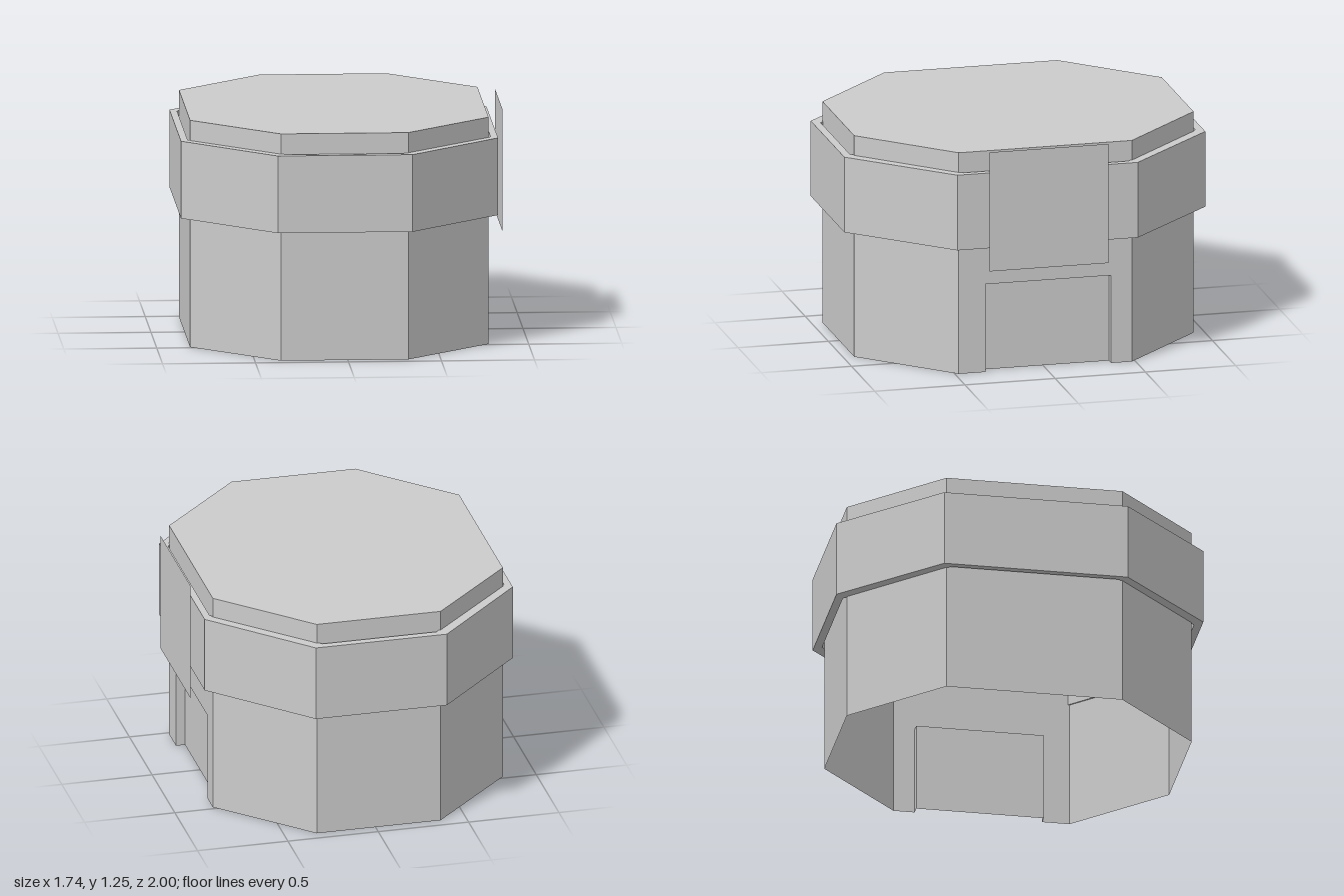
import * as THREE from 'three';
import { mergeGeometries } from 'three/addons/utils/BufferGeometryUtils.js';

const CX = -0.0175; // the octagonal tower sits slightly off centre; the sign balances it
const material = new THREE.MeshStandardMaterial({ color: 0xcccccc, flatShading: true, side: THREE.DoubleSide });

// Octagon corners as [x, z]: half sizes hx, hz and flat half lengths fx, fz.
// The last and first corners bound the +x side.
function octagon(hx, hz, fx, fz) {
  return [[hx, -fz], [fx, -hz], [-fx, -hz], [-hx, -fz], [-hx, fz], [-fx, hz], [fx, hz], [hx, fz]]
    .map(([x, z]) => [x + CX, z]);
}

function toPoints(corners) {
  return corners.map(([x, z]) => new THREE.Vector2(x, -z));
}

// Four corners, counter-clockwise seen from the front
function quad(a, b, c, d) {
  const g = new THREE.BufferGeometry();
  g.setAttribute('position', new THREE.Float32BufferAttribute([a, b, c, a, c, d].flat(), 3));
  g.computeVertexNormals();
  return g;
}

function addMesh(group, name, geometry) {
  const mesh = new THREE.Mesh(geometry, material);
  mesh.name = name;
  group.add(mesh);
  return mesh;
}

export function createModel() {
  const group = new THREE.Group();
  group.name = 'octagonalKiosk';

  const top = 1.235;
  const body = octagon(0.8025, 0.94, 0.3425, 0.48);

  // Seven plain walls, open underneath
  const walls = [];
  for (let i = 0; i < 7; i++) {
    const [x0, z0] = body[i], [x1, z1] = body[i + 1];
    walls.push(quad([x1, 0, z1], [x0, 0, z0], [x0, top, z0], [x1, top, z1]));
  }
  addMesh(group, 'walls', mergeGeometries(walls));

  // Entrance wall on the +x side, notched for the doorway
  const wallX = body[0][0], near = 0.33, far = -0.365, doorTop = 0.49;
  const outline = [[-0.48, 0], [-near, 0], [-near, doorTop], [-far, doorTop], [-far, 0], [0.48, 0], [0.48, top], [-0.48, top]];
  const entrance = new THREE.ShapeGeometry(new THREE.Shape(outline.map(([u, v]) => new THREE.Vector2(u, v))));
  entrance.rotateY(Math.PI / 2).translate(wallX, 0, 0);
  addMesh(group, 'entranceWall', entrance);

  // Shallow doorway: door, two jambs and the soffit
  const doorX = wallX - 0.05;
  addMesh(group, 'doorway', mergeGeometries([
    quad([doorX, 0, near], [doorX, 0, far], [doorX, doorTop, far], [doorX, doorTop, near]),
    quad([doorX, 0, far], [wallX, 0, far], [wallX, doorTop, far], [doorX, doorTop, far]),
    quad([wallX, 0, near], [doorX, 0, near], [doorX, doorTop, near], [wallX, doorTop, near]),
    quad([doorX, doorTop, near], [doorX, doorTop, far], [wallX, doorTop, far], [wallX, doorTop, near]),
  ]));

  // Flat roof
  const roof = new THREE.ShapeGeometry(new THREE.Shape(toPoints(body)));
  roof.rotateX(-Math.PI / 2).translate(0, top, 0);
  addMesh(group, 'roof', roof);

  // Thick band around the upper walls, with narrow gaps along the straight sides
  const bandShape = new THREE.Shape(toPoints(octagon(0.8525, 1, 0.3625, 0.5)));
  bandShape.holes.push(new THREE.Path(toPoints(octagon(0.8145, 0.957, 0.315, 0.458))));
  const band = new THREE.ExtrudeGeometry(bandShape, { depth: 0.42, bevelEnabled: false });
  band.rotateX(-Math.PI / 2).translate(0, 0.705, 0);
  addMesh(group, 'band', band);

  // Thin sign panel standing off the band above the door
  const sign = addMesh(group, 'signPanel', new THREE.PlaneGeometry(0.66, 0.665));
  sign.rotation.y = Math.PI / 2;
  sign.position.set(0.87, 0.9175, 0);

  return group;
}
